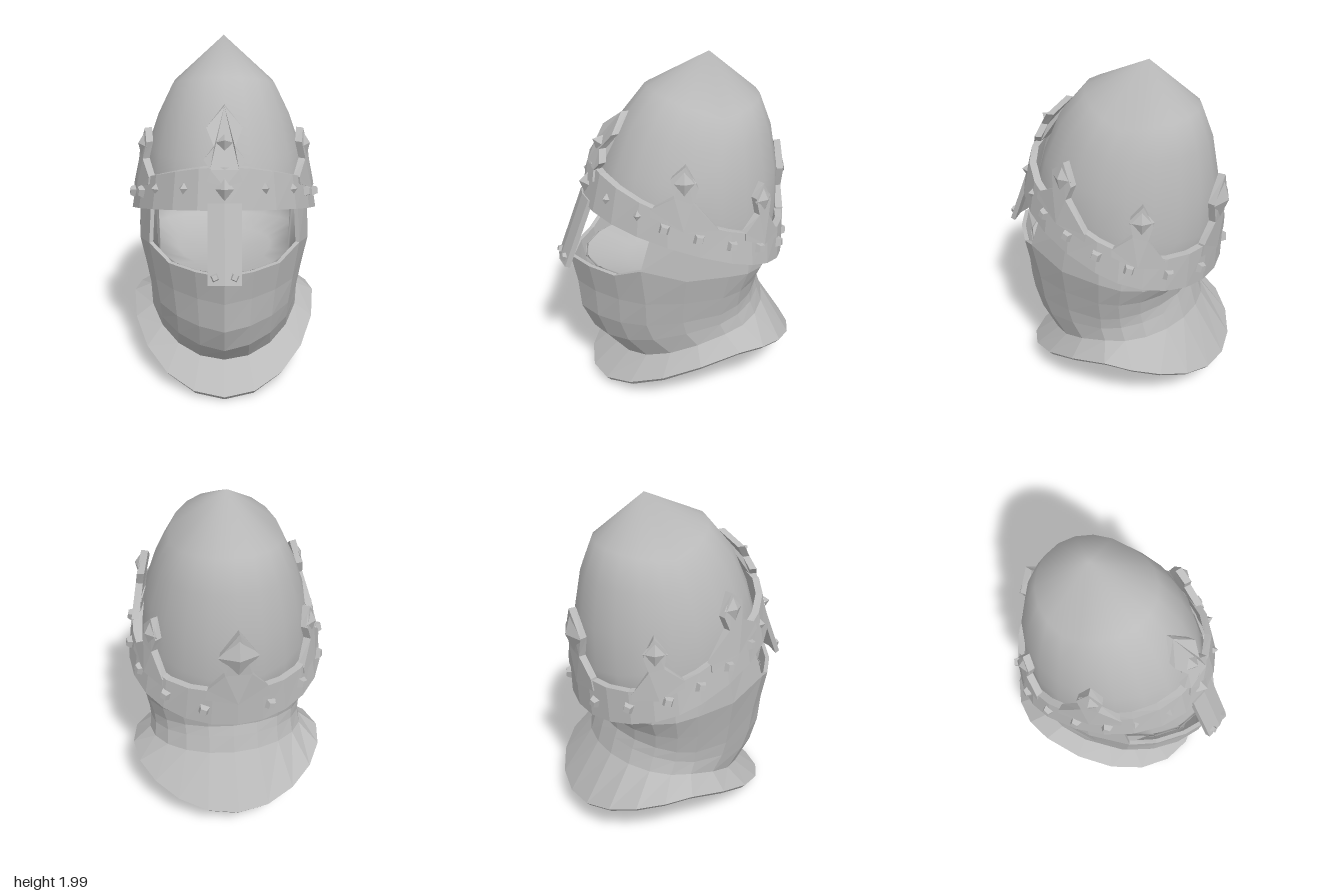
import * as THREE from 'three';
import { mergeVertices } from 'three/addons/utils/BufferGeometryUtils.js';

const steel = new THREE.MeshStandardMaterial({ color: 0xbababa });
steel.name = 'steel';

// Egg-shaped ring: front/back depth, half width, and heights at front, side and back.
function ringPoint(r, a, inset = 0) {
  const c = Math.cos(a), k = Math.abs(c);
  const depth = Math.max(0, (c > 0 ? r.zf - r.zc : r.zc - r.zb) - inset);
  const y = r.ys + ((c > 0 ? r.yf : r.yb) - r.ys) * Math.pow(k, c > 0 ? r.pf : r.pb);
  return new THREE.Vector3(Math.max(0, r.rx - inset) * Math.sin(a), y, r.zc + depth * c);
}
const ring = (zc, rx, zf, zb, yf, ys, yb, pf = 1, pb = 1) => ({ zc, rx, zf, zb, yf, ys, yb, pf, pb });

// Closed shell around the helmet; point(i, j, inner), rows run upward, keep() cuts openings.
function shell(cols, rows, point, keep = () => true) {
  const out = [];
  const quad = (...p) => [0, 1, 2, 0, 2, 3].forEach((n) => out.push(p[n].x, p[n].y, p[n].z));
  const has = (i, j) => j >= 0 && j < rows && keep((i + cols) % cols, j);
  for (let i = 0; i < cols; i++) {
    for (let j = 0; j < rows; j++) {
      if (!has(i, j)) continue;
      const at = [[i, j], [i + 1, j], [i + 1, j + 1], [i, j + 1]];
      const o = at.map(([u, v]) => point(u % cols, v, false));
      const n = at.map(([u, v]) => point(u % cols, v, true));
      quad(...o);
      quad(n[3], n[2], n[1], n[0]);
      [[i, j - 1], [i + 1, j], [i, j + 1], [i - 1, j]].forEach(([u, v], e) => {
        const f = (e + 1) % 4;
        if (!has(u, v)) quad(o[e], n[e], n[f], o[f]);
      });
    }
  }
  const g = new THREE.BufferGeometry();
  g.setAttribute('position', new THREE.Float32BufferAttribute(out, 3));
  g.computeVertexNormals();
  return g;
}

// Crown surface: angle from the front, height above the tilted lower edge, outward offset.
function wrap(a, h, d = 0) {
  const c = Math.cos(a), s = Math.sin(a);
  const z = -0.14 + (c > 0 ? 0.7 : 0.49) * c;
  const lean = c > 0 ? -0.25 * h - 2 * h ** 4 : -0.03 * h;
  return new THREE.Vector3(
    0.56 * s * (1 - 0.32 * h) + d * s,
    1.015 + 0.34 * z + h,
    z + lean * c * c + d * c
  );
}

function flat(geometry) {
  const g = geometry.index ? geometry.toNonIndexed() : geometry;
  g.computeVertexNormals();
  return g;
}

export function createModel() {
  const model = new THREE.Group();
  model.name = 'helmet';
  const add = (name, geometry, parent = model) => {
    const m = new THREE.Mesh(geometry, steel);
    m.name = name;
    parent.add(m);
    return m;
  };
  const openFace = (i) => i > 2 && i < 17;

  // Smooth pointed dome, closed below by a bowl and open at the face
  const domeRings = [
    ring(-0.02, 0, -0.02, -0.02, 0.72, 0.72, 0.72),
    ring(-0.06, 0.3, 0.32, -0.34, 0.75, 0.75, 0.74),
    ring(-0.14, 0.465, 0.56, -0.47, 0.83, 0.83, 0.79),
    ring(-0.12, 0.475, 0.49, -0.575, 1.2, 1.03, 0.9),
    ring(-0.11, 0.47, 0.455, -0.6, 1.3, 1.19, 1.08),
    ring(-0.11, 0.445, 0.42, -0.595, 1.42, 1.38, 1.33),
    ring(-0.13, 0.385, 0.32, -0.55, 1.65, 1.55, 1.58),
    ring(-0.16, 0.305, 0.17, -0.48, 1.83, 1.71, 1.76),
    ring(-0.19, 0, -0.19, -0.19, 2, 2, 2),
  ];
  const dome = shell(20, 8, (i, j, inner) => {
    const p = ringPoint(domeRings[j], (i / 20) * Math.PI * 2, inner ? 0.015 : 0);
    if (inner) p.y += (1.1 - p.y) * 0.03;
    return p;
  }, (i, j) => j !== 2 || openFace(i));
  dome.deleteAttribute('normal');
  const smoothDome = mergeVertices(dome, 1e-4);
  smoothDome.computeVertexNormals();
  add('dome', smoothDome);

  // Faceted face and neck guard with flared collar and eye opening
  const guardRings = [
    ring(-0.2, 0.575, 0.545, -0.72, 0.04, 0.36, 0.2, 1.3, 2.2),
    ring(-0.15, 0.465, 0.38, -0.53, 0.19, 0.43, 0.5, 1.2),
    ring(-0.12, 0.455, 0.53, -0.5, 0.34, 0.5, 0.6, 1.2),
    ring(-0.12, 0.46, 0.6, -0.48, 0.5, 0.57, 0.66),
    ring(-0.12, 0.485, 0.615, -0.49, 0.68, 0.7, 0.73),
    ring(-0.14, 0.52, 0.65, -0.54, 0.86, 0.86, 0.8),
    ring(-0.14, 0.505, 0.52, -0.57, 1.26, 1.06, 0.87),
  ];
  const facePull = [0, 0, 0.02, 0.03, 0.035, 0.035, 0];
  add('faceAndNeckGuard', shell(20, 6, (i, j, inner) => {
    const p = ringPoint(guardRings[j], (i / 20) * Math.PI * 2, inner ? 0.025 : 0);
    const step = Math.min(i, 20 - i);
    if (j === 0 && inner) p.y -= 0.03;
    if (j === 5 && step === 3) p.y += 0.07;
    if (j > 4 && step === 3) p.z += 0.02;
    // Angular ridge down the middle of the face
    if (step === 1 || step === 2) p.z -= facePull[j];
    return p;
  }, (i, j) => j < 5 || openFace(i)));

  // Crown band
  const crown = new THREE.Group();
  crown.name = 'crown';
  model.add(crown);
  add('band', shell(24, 1, (i, j, inner) => {
    const a = (i / 24) * Math.PI * 2;
    const top = 0.18 + (Math.cos(a) > 0 ? 0.04 : 0.06) * Math.cos(a) ** 4;
    return wrap(a, j * top, inner ? -0.04 : 0);
  }), crown);

  // Crown points, cut flat and wrapped around the band
  function crownPoint(name, a0, half) {
    const right = half.map(([s, h]) => new THREE.Vector2(s, h));
    const left = half.filter(([s]) => s > 0).reverse().map(([s, h]) => new THREE.Vector2(-s, h));
    const g = new THREE.ExtrudeGeometry(new THREE.Shape([...right, ...left]), { depth: 0.042, bevelEnabled: false });
    const pos = g.attributes.position;
    for (let i = 0; i < pos.count; i++) {
      const p = wrap(a0 + pos.getX(i) / 0.56, pos.getY(i), pos.getZ(i) - 0.036);
      pos.setXYZ(i, p.x, p.y, p.z);
    }
    add(name, flat(g), crown);
  }
  const sidePoint = [[0, 0.12], [0.16, 0.14], [0.16, 0.18], [0.045, 0.29], [0.07, 0.38], [0, 0.47]];
  const frontPoint = [[0, 0.12], [0.1, 0.15], [0.08, 0.21], [0.12, 0.26], [0.06, 0.32], [0.11, 0.41], [0, 0.5]];
  const backPoint = [[0, 0.15], [0.19, 0.17], [0.18, 0.24], [0.08, 0.35], [0.12, 0.47], [0, 0.62]];

  // Faceted studs facing away from the crown
  function stud(name, a, h, radius, depth, square = false, stretch = 1) {
    const g = new THREE.CylinderGeometry(square ? radius * 0.65 : 0, radius, depth, 4);
    g.rotateX(Math.PI / 2);
    if (square) g.rotateZ(Math.PI / 4 - 0.25);
    g.scale(1, stretch, 1).translate(0, 0, depth / 2 - 0.004);
    const m = add(name, flat(g), crown);
    const p = wrap(a, h);
    const u = wrap(a + 0.01, h).sub(wrap(a - 0.01, h));
    const v = wrap(a, h + 0.01).sub(wrap(a, h - 0.01));
    m.position.copy(p);
    m.lookAt(p.clone().add(u.cross(v).normalize()));
  }

  crownPoint('frontPoint', 0, frontPoint);
  crownPoint('backPoint', Math.PI, backPoint);
  stud('frontStud', 0, 0.11, 0.05, 0.045, false, 1.3);
  stud('frontPointStud', 0, 0.34, 0.045, 0.045);
  stud('backPointStud', Math.PI, 0.47, 0.11, 0.045, false, 1.2);
  for (const side of [1, -1]) {
    for (const a of [1.18, 2.03]) {
      crownPoint('sidePoint', side * a, sidePoint);
      stud('sidePointStud', side * a, 0.38, 0.068, 0.036, false, 1.25);
    }
    for (const a of [0.42, 0.775]) stud('diamondStud', side * a, 0.115, 0.025, 0.03, false, 1.3);
    for (const a of [1.02, 1.3, 1.57, 1.94, 2.37, 2.8]) stud('squareStud', side * a, 0.1, 0.038, 0.03, true);
  }

  // Nose guard with a shallow central ridge and two rivets
  const nose = new THREE.Group();
  nose.name = 'noseGuard';
  nose.position.set(0, 1.035, 0.61);
  nose.rotation.x = -0.37;
  model.add(nose);
  const bar = new THREE.BoxGeometry(0.18, 0.43, 0.03, 2, 1, 1);
  const pos = bar.attributes.position;
  for (let i = 0; i < pos.count; i++) {
    if (Math.abs(pos.getX(i)) < 0.01) pos.setZ(i, pos.getZ(i) + 0.014);
  }
  add('noseBar', flat(bar), nose);
  for (const side of [1, -1]) {
    const g = new THREE.CylinderGeometry(0.018, 0.03, 0.03, 4);
    g.rotateX(Math.PI / 2);
    g.rotateZ(side * 0.4);
    add('noseRivet', flat(g), nose).position.set(side * 0.052, -0.172, 0.026);
  }

  return model;
}
